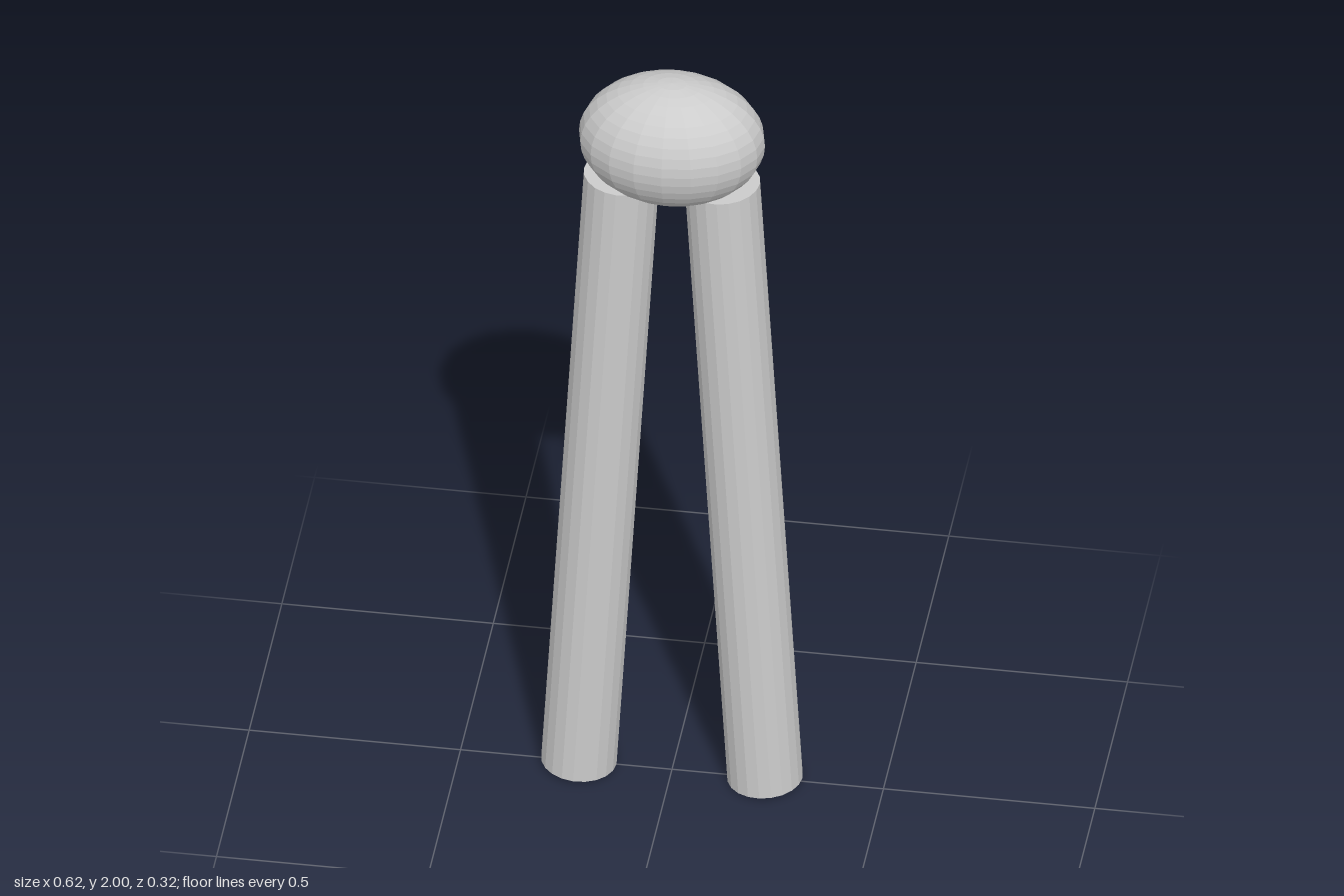
import * as THREE from 'three';

export function createModel() {
  const model = new THREE.Group();
  const material = new THREE.MeshStandardMaterial({ color: 0xcccccc, flatShading: true });

  // Wide egg-shaped head resting on the legs
  const head = new THREE.Mesh(new THREE.SphereGeometry(1, 20, 20), material);
  head.name = 'head';
  head.scale.set(0.22, 0.16, 0.16);
  head.position.y = 1.84;
  model.add(head);

  // Two round legs splayed outward towards the ground
  const radius = 0.089;
  const top = new THREE.Vector2(0.119, 1.725);
  const foot = new THREE.Vector2(0.22, 0.005);
  const legGeometry = new THREE.CylinderGeometry(radius, radius, top.distanceTo(foot), 20);
  const tilt = Math.atan2(foot.x - top.x, top.y - foot.y);
  for (const side of [1, -1]) {
    const leg = new THREE.Mesh(legGeometry, material);
    leg.name = side > 0 ? 'leftLeg' : 'rightLeg';
    leg.position.set(side * (top.x + foot.x) / 2, (top.y + foot.y) / 2, 0);
    leg.rotation.z = side * tilt;
    model.add(leg);
  }

  return model;
}
